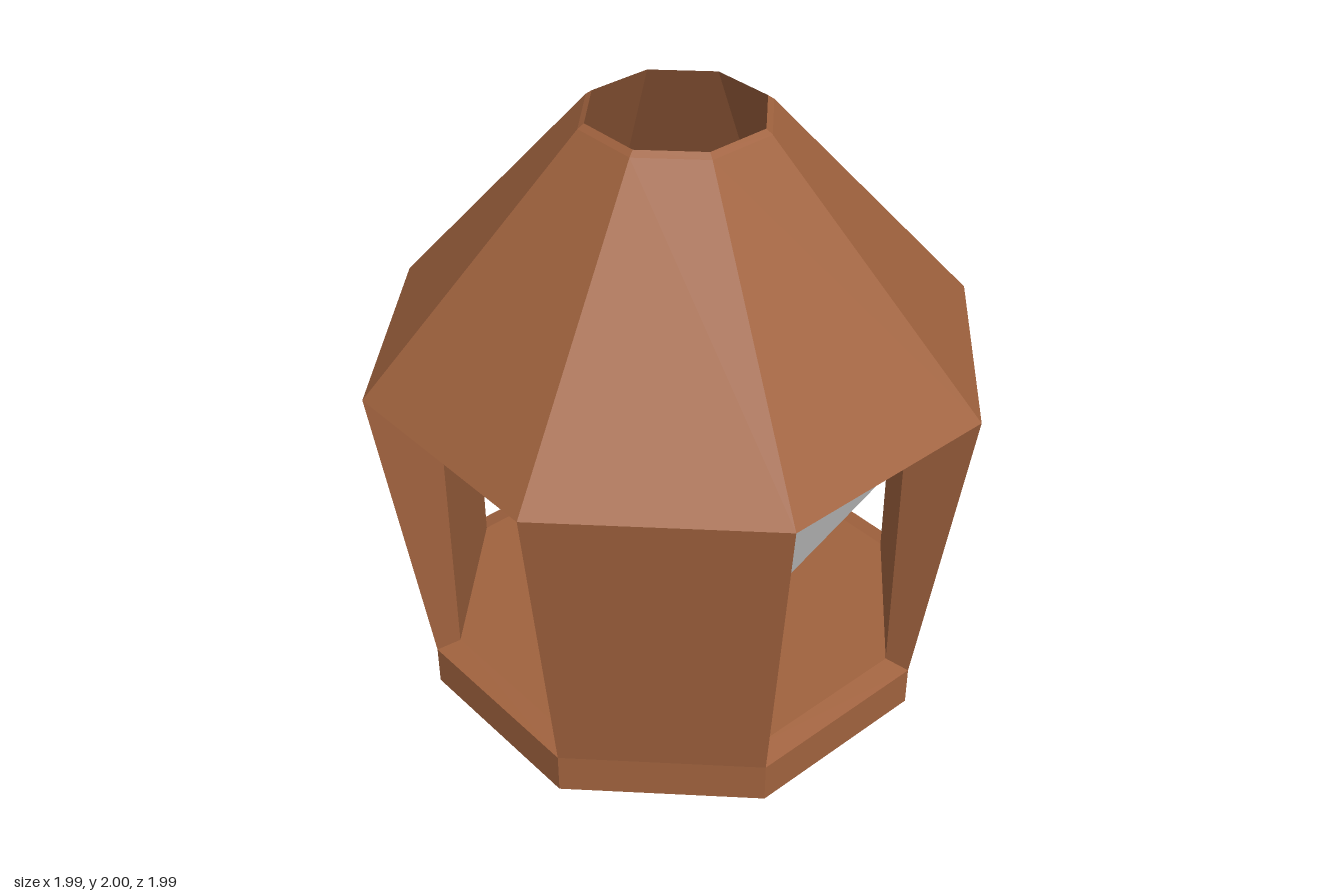
import * as THREE from 'three';

const SIDES = 8;
const STEP = (Math.PI * 2) / SIDES;

export function createModel() {
  const clay = new THREE.MeshStandardMaterial({ color: 0xa0623e, side: THREE.DoubleSide });
  clay.name = 'brown clay';
  const glass = new THREE.MeshStandardMaterial({ color: 0xe4e4e4, side: THREE.DoubleSide });
  glass.name = 'pale glass';

  const model = new THREE.Group();
  model.name = 'lantern';

  // Faceted ring swept from a [radius, height] profile
  function ring(profile, start = 0, count = SIDES) {
    const points = profile.map(([r, y]) => new THREE.Vector2(r, y));
    const geometry = new THREE.LatheGeometry(points, count, start * STEP, count * STEP).toNonIndexed();
    geometry.computeVertexNormals();
    return geometry;
  }

  function add(parent, name, geometry, material) {
    const mesh = new THREE.Mesh(geometry, material);
    mesh.name = name;
    parent.add(mesh);
    return mesh;
  }

  // Base with a bevelled sill and floor
  add(model, 'base', ring([[0, 0], [0.85, 0], [0.85, 0.14], [0.77, 0.16], [0, 0.16]]), clay);

  // Four solid wall panels, alternating with open windows
  const wall = [[0.85, 0.14], [0.995, 1.2], [0.77, 1.06], [0.77, 0.16]];
  const jambShape = new THREE.Shape(wall.map(([r, y]) => new THREE.Vector2(r, y)));
  for (let side = 1; side < SIDES; side += 2) {
    const panel = new THREE.Group();
    panel.name = 'wallPanel';
    add(panel, 'wall', ring([...wall, wall[0]], side, 1), clay);
    for (const edge of [side, side + 1]) {
      const jamb = add(panel, 'windowJamb', new THREE.ShapeGeometry(jambShape), clay);
      jamb.rotation.y = edge * STEP - Math.PI / 2;
    }
    model.add(panel);
  }

  // Hollow roof with sloping eaves and an open, bevelled top
  add(model, 'roof', ring([
    [0.8, 1.05], [0.85, 1.04], [0.995, 1.2], [0.3, 1.985], [0.28, 2], [0.8, 1.05],
  ]), clay);

  // Tapered glass inside, narrow at the floor
  add(model, 'innerGlass', ring([[0.28, 0.16], [0.8, 1.05]]), glass);

  return model;
}
